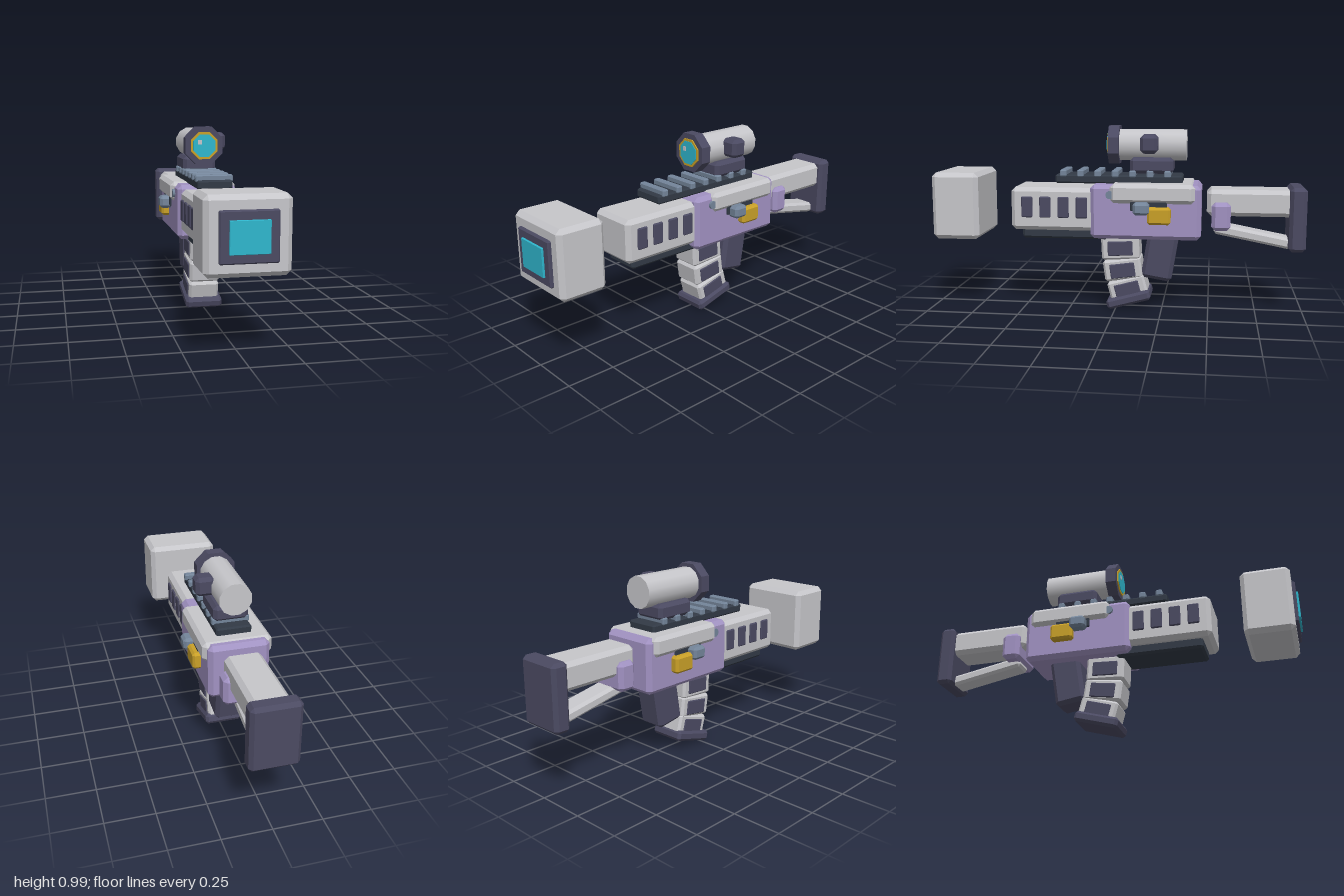
import * as THREE from 'three';
import { ConvexGeometry } from 'three/addons/geometries/ConvexGeometry.js';

const paint = (name, color) => {
  const m = new THREE.MeshStandardMaterial({ color });
  m.name = name;
  return m;
};

export function createModel() {
  const grey = paint('light grey', 0xc6c6ca);
  const dark = paint('dark violet grey', 0x4b4a62);
  const purple = paint('lavender', 0xa192c2);
  const gold = paint('gold', 0xc9a028);
  const cyan = paint('cyan glass', 0x2fb6cd);
  const steel = paint('blue grey', 0x74859a);
  const black = paint('charcoal', 0x323a46);

  const model = new THREE.Group();
  model.name = 'blaster';

  const add = (name, geometry, material, x, y, z, rx = 0) => {
    const mesh = new THREE.Mesh(geometry, material);
    mesh.name = name;
    mesh.position.set(x, y, z);
    mesh.rotation.x = rx;
    model.add(mesh);
    return mesh;
  };

  // Box with every edge and corner cut by c
  const chamferBox = (w, h, d, c) => {
    const points = [];
    for (const sx of [-1, 1]) for (const sy of [-1, 1]) for (const sz of [-1, 1]) {
      const [x, y, z] = [w / 2, h / 2, d / 2];
      points.push(
        new THREE.Vector3(sx * x, sy * (y - c), sz * (z - c)),
        new THREE.Vector3(sx * (x - c), sy * y, sz * (z - c)),
        new THREE.Vector3(sx * (x - c), sy * (y - c), sz * z));
    }
    return new ConvexGeometry(points);
  };

  // Chamfered block given by half width and its y and z ranges
  const block = (name, material, halfX, y0, y1, z0, z1, c) =>
    add(name, chamferBox(halfX * 2, y1 - y0, z1 - z0, c), material, 0, (y0 + y1) / 2, (z0 + z1) / 2);

  // Floating muzzle block with its screen
  block('muzzleBlock', grey, 0.196, 0.39, 0.747, 0.72, 0.973, 0.023);
  block('muzzleFrame', dark, 0.132, 0.453, 0.683, 0.955, 0.99, 0.006);
  block('muzzleScreen', cyan, 0.09, 0.495, 0.642, 0.97, 1.0, 0.002);

  // Handguard, its side vents and lower rail
  block('handguard', grey, 0.138, 0.44, 0.67, 0.05, 0.555, 0.022);
  for (const z of [0.466, 0.368, 0.27, 0.172])
    block('handguardVent', dark, 0.147, 0.51, 0.622, z - 0.03, z + 0.03, 0.005);
  block('lowerRail', black, 0.1, 0.39, 0.46, 0.04, 0.502, 0.012);

  // Receiver and upper cover
  block('receiver', purple, 0.157, 0.404, 0.692, -0.457, 0.125, 0.022);
  block('upperCover', grey, 0.178, 0.597, 0.699, -0.425, 0.018, 0.02);

  // Matching controls on each side
  for (const s of [-1, 1]) {
    add('ejectionSlot', chamferBox(0.03, 0.055, 0.19, 0.004), black, s * 0.152, 0.585, -0.185);
    add('boltHandle', chamferBox(0.08, 0.066, 0.085, 0.014), steel, s * 0.177, 0.575, -0.148);
    add('goldSwitch', chamferBox(0.06, 0.09, 0.122, 0.012), gold, s * 0.168, 0.536, -0.24);
    const pin = add('pivotPin', new THREE.CylinderGeometry(0.022, 0.022, 0.04, 10), steel, s * 0.15, 0.64, 0.018);
    pin.rotation.z = Math.PI / 2;
  }

  // Top rail with cross slats
  block('topRail', black, 0.09, 0.69, 0.736, -0.357, 0.32, 0.008);
  for (let i = 0; i < 7; i++) {
    const z = 0.277 - i * 0.0925;
    block('railSlat', steel, 0.097, 0.725, 0.762, z - 0.018, z + 0.018, 0.006);
  }

  // Scope: mount, tube, octagonal hood, ring, lens, glint and knob
  const disc = (name, material, radius, sides, z0, z1) => {
    const g = new THREE.CylinderGeometry(radius, radius, z1 - z0, sides, 1, false, Math.PI / sides);
    g.rotateX(Math.PI / 2);
    return add(name, g, material, 0, 0.893, (z0 + z1) / 2);
  };
  const octagon = (apothem) => apothem / Math.cos(Math.PI / 8);
  block('scopeMount', dark, 0.09, 0.745, 0.83, -0.308, -0.078, 0.018);
  disc('scopeTube', grey, 0.084, 12, -0.375, -0.01);
  const flat = (mesh) => { mesh.geometry = mesh.geometry.toNonIndexed(); mesh.geometry.computeVertexNormals(); };
  flat(disc('scopeHood', dark, octagon(0.1), 8, -0.02, 0.038));
  flat(disc('scopeRing', gold, octagon(0.072), 8, 0.03, 0.044));
  flat(disc('scopeLens', cyan, octagon(0.06), 8, 0.04, 0.047));
  add('lensGlint', new THREE.BoxGeometry(0.021, 0.024, 0.004), grey, -0.024, 0.912, 0.048);
  add('scopeKnob', chamferBox(0.1, 0.098, 0.092, 0.018), dark, 0.108, 0.904, -0.183);

  // Stock: tube, lower strut, bracket and butt plate
  block('stockTube', grey, 0.095, 0.527, 0.667, -0.935, -0.485, 0.022);
  add('stockStrut', chamferBox(0.12, 0.058, 0.41, 0.014), grey, 0, 0.418, -0.728, -0.19);
  block('stockBracket', purple, 0.124, 0.452, 0.602, -0.61, -0.51, 0.02);
  block('buttPlate', dark, 0.122, 0.348, 0.685, -0.998, -0.91, 0.018);

  // Slanted grip
  add('grip', chamferBox(0.156, 0.31, 0.165, 0.02), dark, 0, 0.325, -0.243, -0.16);

  // Curved magazine in three segments: y, z, height, tilt
  const segments = [
    [0.345, -0.027, 0.135, 0.05],
    [0.224, -0.04, 0.115, 0.14],
    [0.118, -0.067, 0.115, 0.27],
  ];
  for (const [y, z, h, tilt] of segments) {
    add('magazineSegment', chamferBox(0.162, h, 0.205, 0.012), grey, 0, y, z, tilt);
    add('magazinePanel', chamferBox(0.174, 0.078, 0.135, 0.004), dark, 0, y - 0.005, z, tilt);
  }
  add('magazineBase', chamferBox(0.2, 0.056, 0.242, 0.014), dark, 0, 0.06, -0.072, 0.27);

  return model;
}
